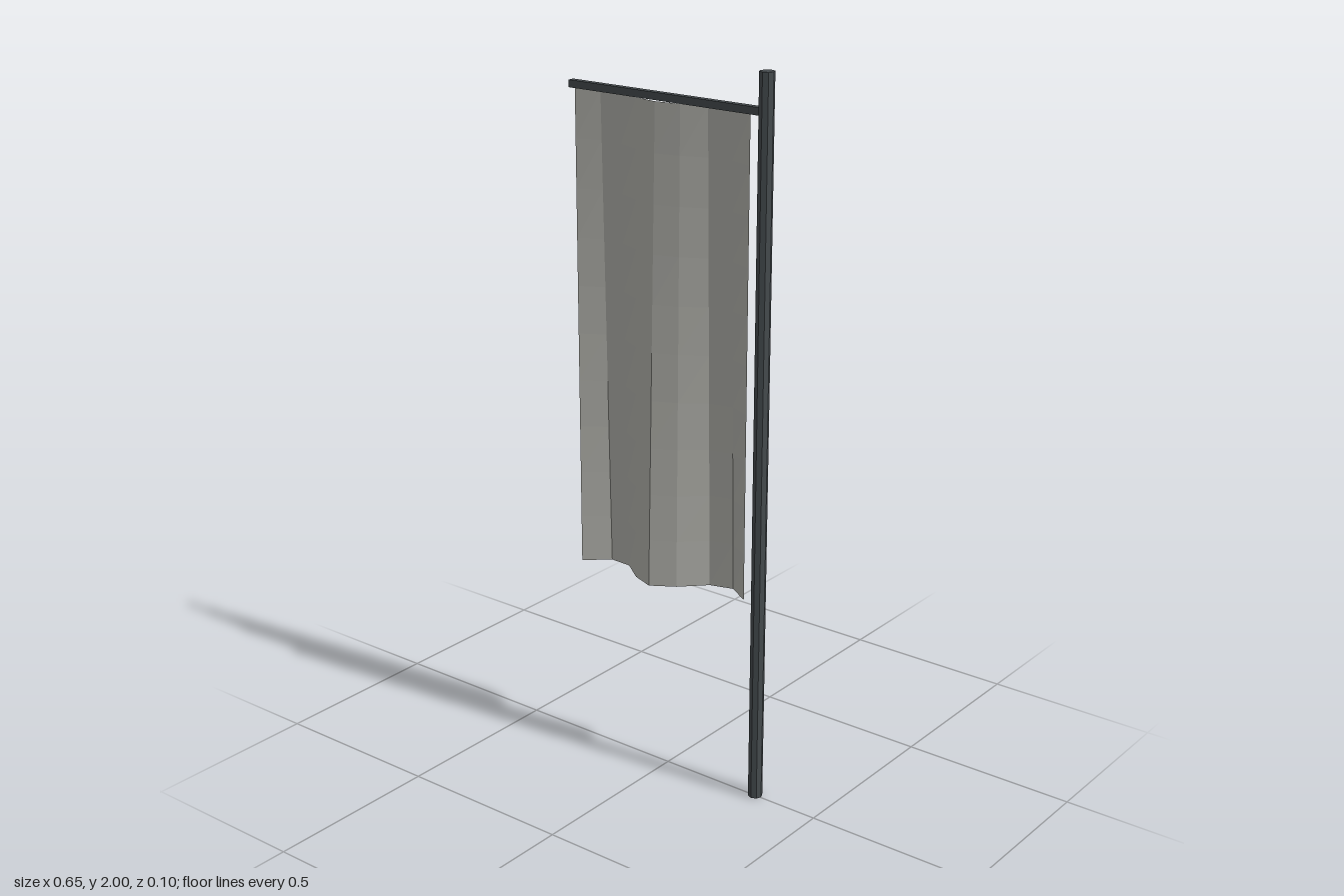
import * as THREE from 'three';

export function createModel() {
  const group = new THREE.Group();
  const metal = new THREE.MeshStandardMaterial({ color: 0x454b4e, flatShading: true });
  metal.name = 'dark metal';
  const fabric = new THREE.MeshStandardMaterial({ color: 0xb0b0aa, flatShading: true, side: THREE.DoubleSide });
  fabric.name = 'grey fabric';

  const add = (name, geometry, material, x, y, z) => {
    const mesh = new THREE.Mesh(geometry, material);
    mesh.name = name;
    mesh.position.set(x, y, z);
    group.add(mesh);
  };

  // Upright pole and the arm that carries the banner
  add('pole', new THREE.CylinderGeometry(0.02, 0.02, 2, 8), metal, 0.304, 1, -0.002);
  add('crossbar', new THREE.BoxGeometry(0.625, 0.02, 0.019), metal, -0.0125, 1.9, -0.002);

  // Hanging cloth: folds deepen towards a slightly slanted hem
  const cloth = new THREE.PlaneGeometry(1, 1, 8, 10);
  const p = cloth.attributes.position;
  const top = 1.89;
  for (let i = 0; i < p.count; i++) {
    const u = p.getX(i) + 0.5;
    const drop = 0.5 - p.getY(i);
    const hem = 0.54 + 0.038 * u;
    const depth = 0.021 + 0.031 * drop;
    p.setXYZ(i, -0.312 + 0.568 * u, top + (hem - top) * drop, -depth * Math.sin(u * Math.PI * 3));
  }
  cloth.computeVertexNormals();
  add('bannerCloth', cloth, fabric, 0, 0, -0.002);

  return group;
}
